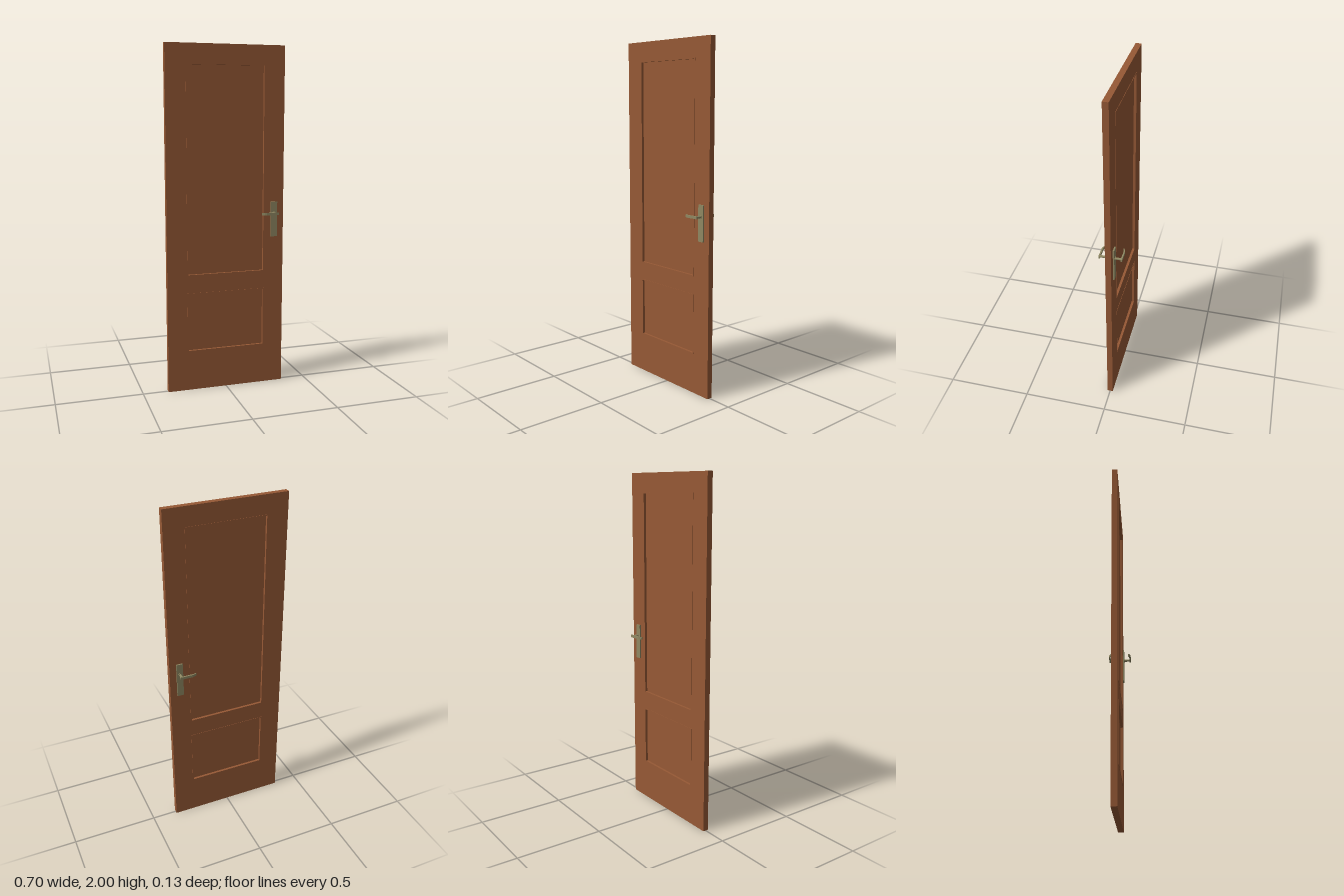
import * as THREE from 'three';

const wood = new THREE.MeshStandardMaterial({ color: 0x965935 });
wood.name = 'brown wood';
const brass = new THREE.MeshStandardMaterial({ color: 0x8f8862 });
brass.name = 'aged brass';

const HALF = 0.0165; // half the leaf thickness
const PANELS = [
  { name: 'upper', y0: 0.69, y1: 1.89 },
  { name: 'lower', y0: 0.235, y1: 0.585 },
];
const PANEL_X = 0.233;
const RIM = 0.005;

function rect(Type, x0, y0, x1, y1) {
  return new Type([[x0, y0], [x1, y0], [x1, y1], [x0, y1]].map(([x, y]) => new THREE.Vector2(x, y)));
}

function add(parent, name, geometry, material, x = 0, y = 0, z = 0) {
  const mesh = new THREE.Mesh(geometry, material);
  mesh.name = name;
  mesh.position.set(x, y, z);
  parent.add(mesh);
  return mesh;
}

// Plate, stem and bent lever on one face; side is +1 front, -1 back
function makeHandle(side) {
  const handle = new THREE.Group();
  handle.name = side > 0 ? 'frontHandle' : 'backHandle';
  const x = 0.293, y = 1.037;

  add(handle, 'backPlate', new THREE.BoxGeometry(0.038, 0.206, 0.008), brass, x, 1.0, side * (HALF + 0.004));

  const collar = new THREE.CylinderGeometry(0.010, 0.010, 0.004, 20).rotateX(Math.PI / 2);
  add(handle, 'collar', collar, brass, x, y, side * 0.0265);
  const stem = new THREE.CylinderGeometry(0.0068, 0.0068, 0.036, 20).rotateX(Math.PI / 2);
  add(handle, 'stem', stem, brass, x, y, side * 0.0415);

  // Lever outline seen from above, tip turned in toward the leaf
  const outline = [
    [0.306, 0.058], [0.306, 0.0665], [0.232, 0.0665], [0.222, 0.064],
    [0.206, 0.056], [0.207, 0.0515], [0.221, 0.0565], [0.232, 0.058],
  ].map(([px, pz]) => new THREE.Vector2(px, pz * side));
  const lever = new THREE.ExtrudeGeometry(new THREE.Shape(outline), { depth: 0.015, bevelEnabled: false });
  lever.rotateX(Math.PI / 2);
  add(handle, 'lever', lever, brass, 0, y + 0.0075, 0);
  return handle;
}

export function createModel() {
  const door = new THREE.Group();
  door.name = 'door';

  // Leaf with two openings
  const leaf = rect(THREE.Shape, -0.352, 0, 0.352, 2);
  for (const p of PANELS) leaf.holes.push(rect(THREE.Path, -PANEL_X, p.y0, PANEL_X, p.y1));
  add(door, 'leafFrame', new THREE.ExtrudeGeometry(leaf, { depth: HALF * 2, bevelEnabled: false }), wood, 0, 0, -HALF);

  for (const p of PANELS) {
    // Sunken panel
    const h = p.y1 - p.y0;
    add(door, p.name + 'Panel', new THREE.BoxGeometry(PANEL_X * 2, h, 0.008), wood, 0, p.y0 + h / 2, 0);

    // Narrow moulding standing slightly proud of both faces
    const rim = rect(THREE.Shape, -PANEL_X - 0.001, p.y0 - 0.001, PANEL_X + 0.001, p.y1 + 0.001);
    rim.holes.push(rect(THREE.Path, -PANEL_X + RIM, p.y0 + RIM, PANEL_X - RIM, p.y1 - RIM));
    const depth = (HALF + 0.002) * 2;
    add(door, p.name + 'Moulding', new THREE.ExtrudeGeometry(rim, { depth, bevelEnabled: false }), wood, 0, 0, -depth / 2);
  }

  for (const side of [1, -1]) door.add(makeHandle(side));
  return door;
}
